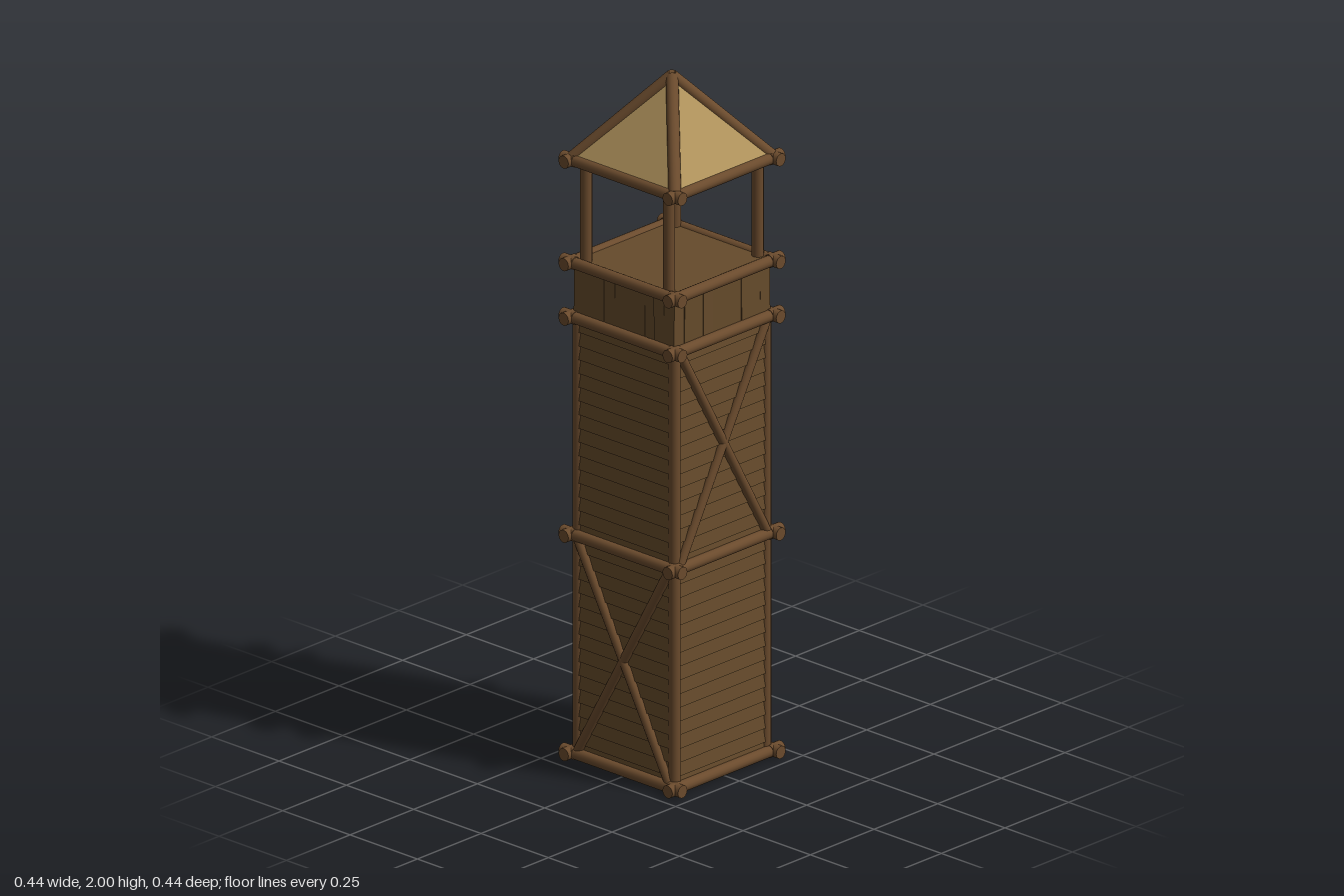
import * as THREE from 'three';

const planks = new THREE.MeshStandardMaterial({ color: 0x664b2b });
planks.name = 'plank brown';
const logs = new THREE.MeshStandardMaterial({ color: 0x6b4b2d });
logs.name = 'log brown';
const thatch = new THREE.MeshStandardMaterial({ color: 0xae915b, flatShading: true });
thatch.name = 'roof tan';

const UP = new THREE.Vector3(0, 1, 0);

function add(parent, name, geometry, material, x = 0, y = 0, z = 0) {
  const mesh = new THREE.Mesh(geometry, material);
  mesh.name = name;
  mesh.position.set(x, y, z);
  parent.add(mesh);
  return mesh;
}

// Round log running between two points
function log(parent, name, a, b, radius) {
  const from = new THREE.Vector3(...a), to = new THREE.Vector3(...b);
  const dir = to.clone().sub(from);
  const geo = new THREE.CylinderGeometry(radius, radius, dir.length(), 14);
  const mid = from.add(to).multiplyScalar(0.5);
  const mesh = add(parent, name, geo, logs, mid.x, mid.y, mid.z);
  mesh.quaternion.setFromUnitVectors(UP, dir.normalize());
  return mesh;
}

function seeded(seed) {
  return () => (seed = (seed * 16807) % 2147483647) / 2147483647;
}

export function createModel() {
  const tower = new THREE.Group();
  tower.name = 'watchtower';
  const levels = [0.0185, 0.655, 1.288, 1.447, 1.746];
  const [base, middle, upper, deck, eaves] = levels;

  // Solid core, deck and ceiling
  add(tower, 'core', new THREE.BoxGeometry(0.36, 1.42, 0.36), planks, 0, 0.72, 0);
  add(tower, 'deckFloor', new THREE.BoxGeometry(0.38, 0.016, 0.38), planks, 0, deck, 0);
  add(tower, 'ceiling', new THREE.BoxGeometry(0.38, 0.01, 0.38), planks, 0, eaves, 0);

  // Four walls: lapped boards, upright parapet boards and a cross brace
  const rows = 32, step = (upper - 0.008) / rows;
  const lap = new THREE.BoxGeometry(0.366, step + 0.002, 0.01);
  const upright = new THREE.BoxGeometry(0.0385, 0.15, 0.01);
  const random = seeded(17);
  for (let side = 0; side < 4; side++) {
    const wall = new THREE.Group();
    wall.name = 'wall' + side;
    wall.rotation.y = side * Math.PI / 2;
    tower.add(wall);

    for (let i = 0; i < rows; i++) {
      const board = add(wall, 'lapBoard', lap, planks, 0, 0.008 + (i + 0.5) * step, 0.1825);
      board.rotation.x = -0.12;
    }
    for (let i = 0; i < 10; i++) {
      const board = add(wall, 'parapetBoard', upright, planks,
        (i - 4.5) * 0.0372, (upper + deck) / 2, 0.181 + random() * 0.003);
      board.rotation.x = (random() - 0.5) * 0.04;
    }

    // Front and back are braced above, the two sides below
    const [low, high] = side % 2 ? [base, middle] : [middle, upper];
    for (const s of [-1, 1]) {
      log(wall, 'crossBrace', [-s * 0.172, low + 0.005, 0.19], [s * 0.172, high - 0.005, 0.19], 0.0135);
    }

    // Ring beams with thicker ends
    for (const y of levels) {
      log(wall, 'ringBeam', [-0.2, y, 0.193], [0.2, y, 0.193], 0.0165);
      for (const s of [-1, 1]) {
        log(wall, 'beamEnd', [s * 0.176, y, 0.193], [s * 0.222, y, 0.193], 0.0185);
      }
    }
  }

  // Corner posts, lookout posts and roof hips
  for (const x of [-1, 1]) {
    for (const z of [-1, 1]) {
      log(tower, 'cornerPost', [x * 0.178, 0.01, z * 0.178], [x * 0.178, upper, z * 0.178], 0.0165);
      log(tower, 'lookoutPost', [x * 0.174, deck, z * 0.154], [x * 0.174, eaves, z * 0.154], 0.0165);
      log(tower, 'roofHip', [x * 0.19, eaves + 0.006, z * 0.19], [0, 1.987, 0], 0.0175);
    }
  }

  // Pyramid roof
  const roof = add(tower, 'roof', new THREE.ConeGeometry(0.2 * Math.SQRT2, 0.24, 4, 1),
    thatch, 0, eaves + 0.127, 0);
  roof.rotation.y = Math.PI / 4;
  add(tower, 'roofSoffit', new THREE.BoxGeometry(0.385, 0.006, 0.385), planks, 0, eaves + 0.003, 0);

  return tower;
}
